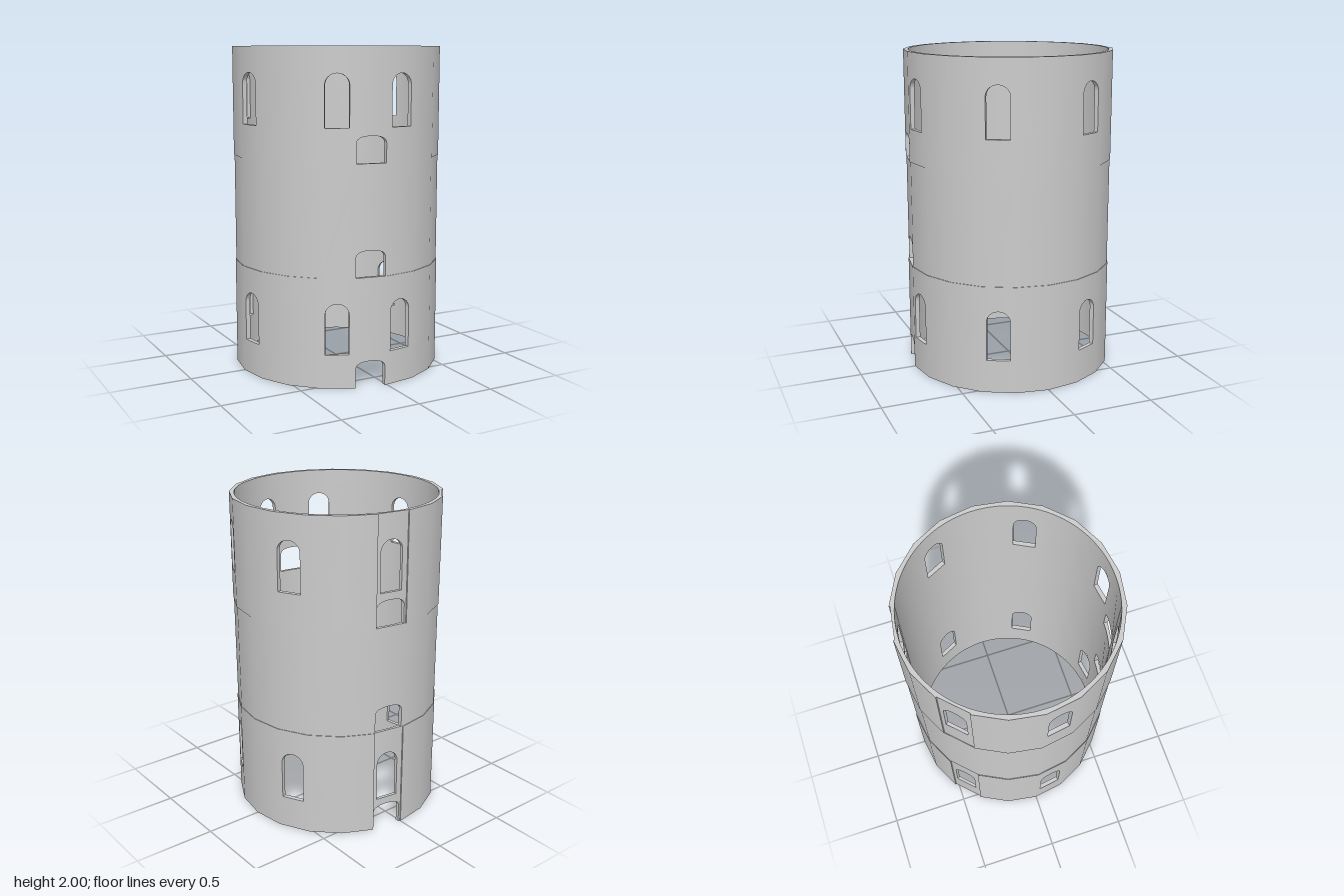
import * as THREE from 'three';

const SIDES = 20, STEP = (2 * Math.PI) / SIDES, TIER = 2 / 3;
const INNER = 0.615;
const RADII = [0.646, 0.642, 0.646];
const WINDOW_FACETS = [0, 3, 6, 9, 12, 15, 18]; // every third facet
const DOOR_FACETS = [9, 19];                    // two opposite facets
const RECESSED_FACETS = [9, 12];

const material = new THREE.MeshStandardMaterial({ color: 0xcccccc, side: THREE.DoubleSide });

// Round-headed window hole
function windowHole() {
  const w = 0.071, cx = -0.005, sill = 0.205, spring = 0.447;
  const p = new THREE.Path();
  p.moveTo(cx - w, sill);
  p.lineTo(cx + w, sill);
  p.lineTo(cx + w, spring);
  p.absellipse(cx, spring, w, 0.066, 0, Math.PI, false);
  p.lineTo(cx - w, sill);
  return p;
}

// Flat panel outline, optionally notched at the bottom by a low arched opening
function panelShape(half, hasDoor, hasWindow) {
  const s = new THREE.Shape();
  const cuts = 6;
  s.moveTo(-half, 0);
  if (hasDoor) {
    const l = -0.097, r = 0.088, mid = (l + r) / 2;
    s.lineTo(l, 0);
    s.lineTo(l, 0.115);
    s.bezierCurveTo(l, 0.145, l + 0.03, 0.158, mid, 0.159);
    s.bezierCurveTo(r - 0.03, 0.158, r, 0.145, r, 0.115);
    s.lineTo(r, 0);
    s.lineTo(half, 0);
  } else {
    for (let i = 1; i <= cuts; i++) s.lineTo(-half + (2 * half * i) / cuts, 0);
  }
  for (let i = 0; i < cuts; i++) s.lineTo(half - (2 * half * i) / cuts, TIER);
  s.lineTo(-half, TIER);
  if (hasWindow) s.holes.push(windowHole());
  return s;
}

// Wall panel: flat outside, rounded to the inner circle on the inside
function wallPanel(radius, hasDoor, hasWindow, recess) {
  const half = radius * Math.sin(STEP / 2), apothem = radius * Math.cos(STEP / 2);
  const geo = new THREE.ExtrudeGeometry(panelShape(half, hasDoor, hasWindow),
    { depth: 1, bevelEnabled: false, curveSegments: 10 });
  const pos = geo.attributes.position;
  const outside = [];
  for (let i = 0; i < pos.count; i++) {
    const u = pos.getX(i), k = INNER / Math.hypot(u, apothem);
    outside.push(pos.getZ(i) > 0.5);
    if (outside[i]) pos.setZ(i, apothem - recess);
    else pos.setXYZ(i, u * k, pos.getY(i), apothem * k);
  }
  geo.computeVertexNormals();
  // Smooth radial normals on the two wall faces
  const lids = geo.groups[0];
  for (let i = lids.start; i < lids.start + lids.count; i++) {
    const n = new THREE.Vector3(pos.getX(i), 0, pos.getZ(i)).normalize();
    if (!outside[i]) n.negate();
    geo.attributes.normal.setXYZ(i, n.x, n.y, n.z);
  }
  geo.clearGroups();
  return geo;
}

export function createModel() {
  const tower = new THREE.Group();
  tower.name = 'towerWall';
  RADII.forEach((radius, t) => {
    const tier = new THREE.Group();
    tier.name = ['lowerTier', 'middleTier', 'upperTier'][t];
    tier.position.y = t * TIER;
    for (let f = 0; f < SIDES; f++) {
      const hasWindow = t !== 1 && WINDOW_FACETS.includes(f);
      const hasDoor = DOOR_FACETS.includes(f);
      const recess = t !== 1 && RECESSED_FACETS.includes(f) ? 0.007 : 0;
      const panel = new THREE.Mesh(wallPanel(radius, hasDoor, hasWindow, recess), material);
      panel.name = hasWindow ? 'windowPanel' : hasDoor ? 'openingPanel' : 'wallPanel';
      panel.rotation.y = (f + 0.5) * STEP;
      tier.add(panel);
    }
    tower.add(tier);
  });
  return tower;
}
